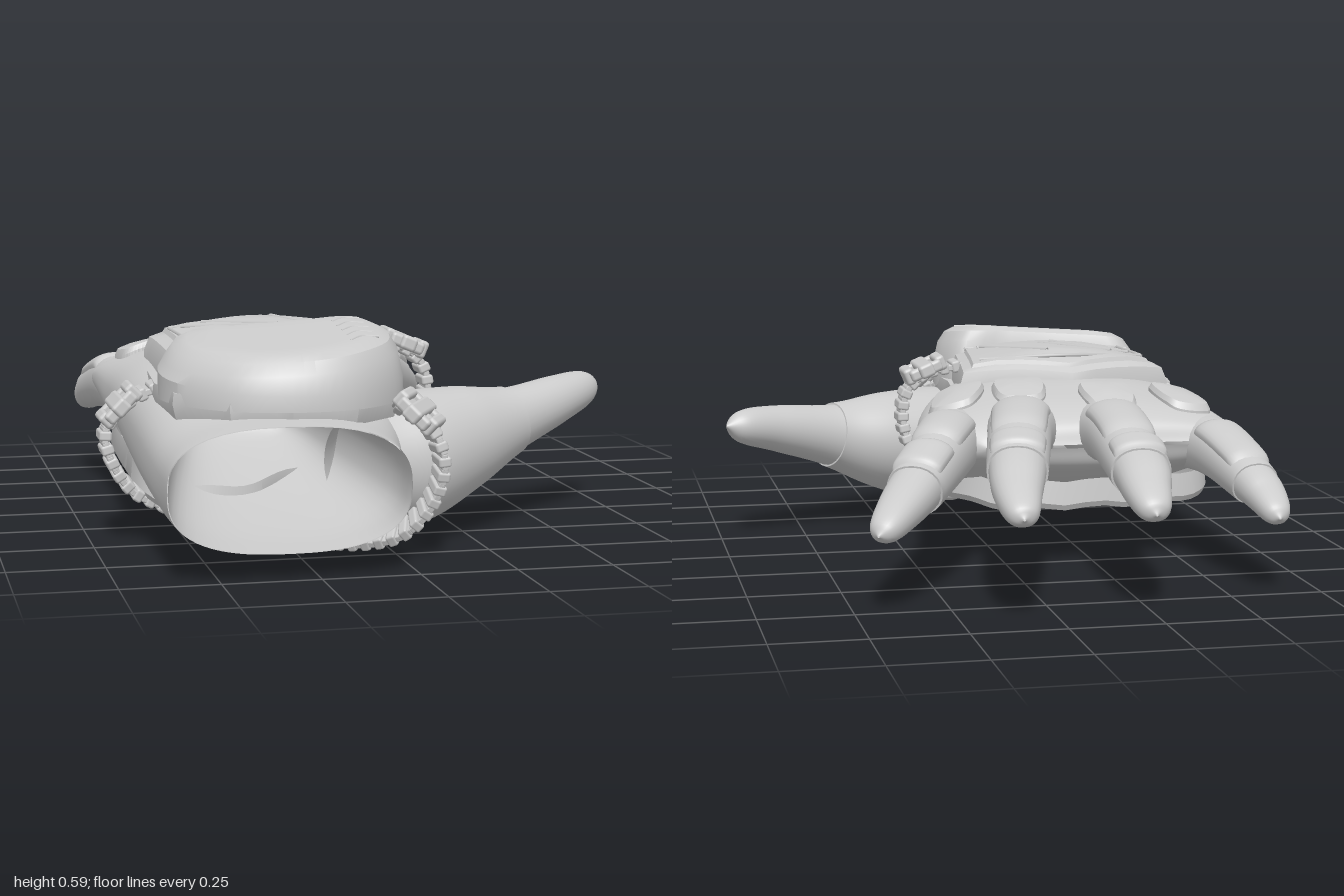
import * as THREE from 'three';
import { mergeGeometries, toCreasedNormals } from 'three/addons/utils/BufferGeometryUtils.js';
import { RoundedBoxGeometry } from 'three/addons/geometries/RoundedBoxGeometry.js';

const V = (x, y, z) => new THREE.Vector3(x, y, z);
const material = new THREE.MeshStandardMaterial({ color: 0xcccccc, side: THREE.DoubleSide });

function add(parent, name, geometry) {
  const mesh = new THREE.Mesh(geometry, material);
  mesh.name = name;
  parent.add(mesh);
  return mesh;
}

// Surface from a rule: i runs along, j runs around (optionally closed)
function grid(ni, nj, closed, rule) {
  const pos = [], idx = [], cols = closed ? nj : nj + 1;
  for (let i = 0; i <= ni; i++)
    for (let j = 0; j < cols; j++) pos.push(...rule(i / ni, j / nj, i, j).toArray());
  for (let i = 0; i < ni; i++)
    for (let j = 0; j < nj; j++) {
      const a = i * cols + j, b = i * cols + (j + 1) % cols;
      idx.push(a, a + cols, b, b, a + cols, b + cols);
    }
  const g = new THREE.BufferGeometry();
  g.setAttribute('position', new THREE.Float32BufferAttribute(pos, 3));
  g.setIndex(idx);
  g.computeVertexNormals();
  return g;
}

// Limb through stations [x, y, z, halfWidth, halfHeight]; returns a point on its skin
function limb(stations, n = 2, axis = null) {
  const path = new THREE.CatmullRomCurve3(stations.map(s => V(s[0], s[1], s[2])), false, 'catmullrom');
  const size = new THREE.CatmullRomCurve3(stations.map(s => V(s[3], s[4], 0)), false, 'catmullrom');
  return (t, angle, scale = 1, lift = 0) => {
    const c = path.getPoint(t), r = size.getPoint(t), dir = axis ?? path.getTangent(t);
    const side = V().crossVectors(dir, V(0, 1, 0)).normalize();
    const up = V().crossVectors(side, dir);
    const f = v => Math.sign(v) * Math.abs(v) ** (2 / n);
    return c.addScaledVector(side, f(Math.cos(angle)) * (Math.max(r.x, 0.002) * scale + lift))
      .addScaledVector(up, f(Math.sin(angle)) * (Math.max(r.y, 0.002) * scale + lift));
  };
}
const skin = (f, t0, t1, ni, nj, scale = 1, lip = false) => grid(ni, nj, true, (u, v, i) =>
  lip && i === ni ? f(t1, v * Math.PI * 2, 0.88) : f(t0 + (t1 - t0) * (lip ? i / (ni - 1) : u), v * Math.PI * 2, scale));

// Pillow-shaped armour piece on the upper side of a limb
const pillow = (f, t0, t1, height) => grid(14, 16, false, (u, v) => {
  const edge = (1 - Math.abs(2 * u - 1) ** 8) * (1 - Math.abs(2 * v - 1) ** 8);
  return f(t0 + (t1 - t0) * u, 0.5 + 2.14 * v, 1.03, height * edge - 0.006);
});

// Slab from a clockwise plan outline and rings [scale, heightRule]
function slab(outline, rings, smooth = false, flip = false) {
  let pts = outline.map(p => V(p[0], 0, p[1]));
  if (flip) pts.reverse();
  if (smooth) pts = new THREE.CatmullRomCurve3(pts, true, 'centripetal').getPoints(64).slice(0, 64);
  else pts = pts.flatMap((p, i) => [0, 1, 2, 3].map(k => p.clone().lerp(pts[(i + 1) % pts.length], k / 4)));
  const c = pts.reduce((s, p) => s.add(p), V(0, 0, 0)).divideScalar(pts.length);
  const g = grid(rings.length - 1, pts.length, true, (u, v, i, j) => {
    const p = pts[j].clone().sub(c).multiplyScalar(rings[i][0]).add(c);
    p.y = rings[i][1](p.x, p.z);
    return p;
  });
  return toCreasedNormals(g, 0.5);
}

// Thin raised ridge lying on a height rule
function ridge(points, r, height) {
  const curve = new THREE.CatmullRomCurve3(points.map(([x, z]) => V(x, height(x, z), z)));
  return new THREE.TubeGeometry(curve, 10, r, 5);
}

// Ribbed strap wrapping around a centre point
function strap(points, center, width) {
  const curve = new THREE.CatmullRomCurve3(points.map(p => V(...p)));
  const frame = t => {
    const p = curve.getPointAt(t), x = curve.getTangentAt(t);
    const out = V(p.x - center[0], p.y - center[1], 0);
    const z = V().crossVectors(x, out).normalize();
    return new THREE.Matrix4().makeBasis(x, V().crossVectors(z, x), z).setPosition(p);
  };
  const n = Math.round(curve.getLength() / 0.036), parts = [];
  for (let i = 0; i <= n; i++) {
    parts.push(new RoundedBoxGeometry(0.027, 0.034, width, 1, 0.007).applyMatrix4(frame(i / n)));
    parts.push(new RoundedBoxGeometry(0.044, 0.018, width * 0.92, 1, 0.004).applyMatrix4(frame(i / n)));
  }
  return mergeGeometries(parts);
}

// Buckle: long cross bar, side loops and ribbed tongue
function buckle(parent, name, position, yaw, tilt) {
  const parts = [[0.13, 0.03, 0.08, 0, 0], [0.045, 0.04, 0.17, 0.0, 0.012], [0.03, 0.05, 0.1, 0.05, 0.01],
    [0.03, 0.045, 0.1, -0.05, 0.01], [0.1, 0.035, 0.025, 0, 0.01, 0.055], [0.1, 0.035, 0.025, 0, 0.01, -0.055]]
    .map(([w, h, d, x, y, z = 0]) => new RoundedBoxGeometry(w, h, d, 2, 0.01).translate(x, y, z));
  const mesh = add(parent, name, mergeGeometries(parts));
  mesh.position.set(...position);
  mesh.rotation.set(0, yaw, tilt, 'YXZ');
}

export function createModel() {
  const model = new THREE.Group();
  model.name = 'armouredGlove';

  // Hand body, open at the wrist
  const bodyStations = [[-.325, .213, .99, .305, .157], [-.308, .212, .78, .318, .17], [-.275, .25, .5, .36, .19],
    [-.24, .29, .22, .4, .185], [-.216, .312, 0, .425, .165], [-.215, .325, -.14, .435, .135],
    [-.235, .335, -.25, .42, .1], [-.275, .335, -.32, .38, .06], [-.29, .335, -.345, .35, .005]];
  const forward = V(0, 0, -1);
  add(model, 'handBody', skin(limb(bodyStations, 2.6, forward), 0, 1, 60, 64));
  add(model, 'wristLining', skin(limb([[-.325, .213, .99, .303, .155], [-.31, .215, .8, .285, .14],
    [-.31, .25, .5, .22, .12], [-.3, .27, .2, .14, .06], [-.3, .27, .15, .002, .002]], 2.6, forward), 0, 1, 16, 40));
  const bodyTop = (x, z) => {
    const k = Math.max(1, bodyStations.findIndex(s => s[2] <= z));
    const a = bodyStations[k - 1], b = bodyStations[k], t = (z - a[2]) / (b[2] - a[2]);
    const [cx, cy, , w, h] = a.map((v, i) => v + (b[i] - v) * t);
    return cy + h * Math.max(0, 1 - Math.abs((x - cx) / w) ** 2.6) ** (1 / 2.6);
  };

  // Fingers: bare tip, sleeve with a hem, armour pillows
  const fingers = {
    index: { s: [[.06, .33, -.05, .09, .08], [.14, .338, -.2, .088, .086], [.21, .325, -.38, .08, .085], [.315, .275, -.585, .075, .068],
      [.383, .24, -.71, .061, .053], [.428, .212, -.785, .041, .035], [.447, .204, -.812, .003, .003]], end: .5, plates: [[.2, .37], [.39, .485]] },
    middle: { s: [[-.07, .35, -.05, .09, .08], [-.045, .37, -.25, .096, .09], [.0, .385, -.43, .086, .08], [.07, .345, -.72, .079, .068],
      [.1, .31, -.86, .066, .054], [.112, .277, -.97, .043, .035], [.114, .27, -1, .003, .003]], end: .507, plates: [[.24, .415], [.435, .495]] },
    ring: { s: [[-.29, .34, -.05, .09, .08], [-.285, .362, -.26, .094, .085], [-.275, .372, -.43, .083, .078], [-.257, .33, -.72, .079, .066],
      [-.242, .3, -.84, .066, .052], [-.236, .268, -.93, .044, .035], [-.235, .26, -.958, .003, .003]], end: .508, plates: [[.25, .425], [.443, .5]] },
    little: { s: [[-.53, .31, -.05, .085, .08], [-.56, .32, -.22, .084, .08], [-.582, .312, -.38, .074, .073], [-.605, .265, -.61, .065, .058],
      [-.615, .238, -.69, .056, .047], [-.617, .21, -.765, .037, .032], [-.617, .203, -.792, .003, .003]], end: .505, plates: [[.285, .475]] },
  };
  for (const [name, { s, end, plates }] of Object.entries(fingers)) {
    const group = new THREE.Group(), f = limb(s, 2.2);
    group.name = name + 'Finger';
    add(group, 'fingerTip', skin(f, end - .1, 1, 24, 24, .95));
    add(group, 'fingerSleeve', toCreasedNormals(skin(f, 0, end, 28, 24, 1.02, true), .7));
    plates.forEach(([a, b]) => add(group, 'fingerPlate', pillow(f, a, b, .018)));
    model.add(group);
  }

  // Thumb
  const thumb = limb([[-.07, .2, .64, .13, .14], [.06, .205, .555, .175, .178], [.25, .24, .455, .14, .145], [.41, .272, .38, .092, .097],
    [.58, .312, .285, .072, .072], [.69, .333, .207, .048, .05], [.737, .34, .17, .003, .003]]);
  add(model, 'thumbTip', skin(thumb, .42, 1, 28, 28, .95));
  add(model, 'thumbSleeve', toCreasedNormals(skin(thumb, 0, .5, 30, 40, 1, true), .7));

  // Knuckle pads draped on the hand
  [[-.525, -.18, -.1], [-.305, -.205, 0], [-.065, -.13, .12], [.11, -.085, .35]].forEach(([x, z, turn]) => {
    const outline = [[-.052, -.085], [.052, -.085], [.072, .065], [.056, .085], [-.056, .085], [-.072, .065]].map(([a, b]) =>
      [x + a * Math.cos(turn) - b * Math.sin(turn), z + a * Math.sin(turn) + b * Math.cos(turn)]);
    const at = d => (px, pz) => Math.max(bodyTop(px, pz), .38) + d;
    add(model, 'knucklePad', slab(outline, [[1, at(-.04)], [1, at(.01)], [.9, at(.024)], [.5, at(.028)], [0, at(.028)]], true));
  });

  // Back of the hand: rim, rear plate and domed shield
  const flat = y => () => y;
  add(model, 'baseRim', slab([[-.56, .06], [-.25, -.03], [.08, .06], [.04, .42], [.05, .56], [0, .76], [-.13, .88], [-.3, .9],
    [-.45, .85], [-.57, .7], [-.59, .5]], [[.97, flat(.35)], [1, flat(.39)], [.99, flat(.42)], [0, flat(.42)]]));
  const plateTop = (x, z) => .55 - .45 * (x + .24) ** 2 - (z < .06 ? (.06 - z) * .5 : 0) - .03 * Math.max(0, z - .2);
  const plateAt = d => (x, z) => plateTop(x, z) + d;
  add(model, 'rearPlate', slab([[-.55, .05], [-.25, -.03], [.07, .05], [.05, .2], [.02, .44], [-.55, .44]],
    [[1, flat(.4)], [1, plateAt(-.045)], [.96, plateAt(-.015)], [.86, plateAt(-.012)], [.84, plateAt(-.002)], [.5, plateAt(0)], [0, plateAt(0)]]));
  [[[-.49, .12], [-.23, .04], [0, .11]], [[-.49, .12], [-.48, .36]], [[-.48, .36], [-.04, .36]], [[-.2, .1], [-.05, .36]],
    [[-.46, .15], [-.26, .33]], [[-.4, .13], [-.22, .3]], [[-.52, .4], [-.01, .4]]]
    .forEach(p => add(model, 'plateRidge', ridge(p, .006, plateTop)));

  const domeTop = (x, z) => .575 - .11 * (z - .43) + .07 * (x + .27) - .4 * Math.max(0, Math.abs(x + .27) - .13) ** 2;
  const domeAt = d => (x, z) => domeTop(x, z) + d;
  add(model, 'domedShield', slab([[-.54, .41], [-.4, .42], [-.27, .43], [-.14, .43], [0, .43], [.045, .52], [.045, .63], [0, .76],
    [-.13, .88], [-.28, .905], [-.44, .855], [-.56, .7], [-.585, .56]], [[1, flat(.39)], [1, (x, z) => .43 + .08 * (.9 - z)],
    [.95, domeAt(-.045)], [.88, domeAt(-.015)], [.78, domeAt(-.002)], [.6, domeAt(0)], [.4, domeAt(0)], [.2, domeAt(0)], [0, domeAt(0)]], true));
  for (let i = 0; i < 5; i++) {
    const z = .5 + i * .055;
    add(model, 'shieldRidge', ridge([[-.12, z + .03], [-.08, z - .01], [-.04, z]], .004, domeAt(-.002)));
  }

  // Palm guard with shallow folds, and its rivets
  const palm = d => (x, z) => .135 - .12 * Math.max(0, z) + .09 * Math.max(0, -z - .1)
    + .9 * Math.max(0, Math.abs(x + .24) - .2) ** 2 + .005 * Math.sin(x * 34 + z * 8) + d;
  add(model, 'palmGuard', slab([[-.57, -.22], [-.35, -.29], [-.05, -.3], [.1, -.18], [.16, .06], [.1, .21], [-.2, .42], [-.35, .54],
    [-.5, .55], [-.61, .46], [-.63, .2], [-.63, -.08]], [[.98, palm(.08)], [1, palm(.015)], [.98, palm(0)], [.85, palm(-.003)],
    [.7, palm(-.004)], [.5, palm(-.005)], [.25, palm(-.005)], [0, palm(-.005)]], true, true));
  [[.08, .17], [-.24, .385], [-.49, .4]].forEach(([x, z]) => {
    const rivet = add(model, 'rivet', new THREE.SphereGeometry(.04, 20, 12).scale(1, .5, 1));
    rivet.position.set(x, palm(-.005)(x, z), z);
  });

  // Ribbed straps and buckles
  add(model, 'wristStrap', strap([[.0, .38, .79], [.06, .34, .81], [.1, .25, .82], [.085, .15, .8], [.02, .06, .76],
    [-.09, .022, .68], [-.18, .025, .59], [-.26, .05, .5]], [-.25, .25], .08));
  add(model, 'thumbWebStrap', strap([[.05, .49, .25], [.14, .47, .25], [.195, .42, .25], [.21, .34, .25],
    [.185, .24, .24], [.14, .16, .21], [.08, .13, .17]], [0, .3], .08));
  add(model, 'outerStrap', strap([[-.58, .4, .43], [-.65, .365, .43], [-.71, .29, .43], [-.695, .21, .43],
    [-.64, .13, .42], [-.56, .085, .41]], [-.3, .25], .085));
  buckle(model, 'wristBuckle', [.035, .365, .815], -.5, -.75);
  buckle(model, 'thumbWebBuckle', [.14, .475, .25], 0, -.4);
  buckle(model, 'outerBuckle', [-.665, .35, .43], 0, .8);

  return model;
}
